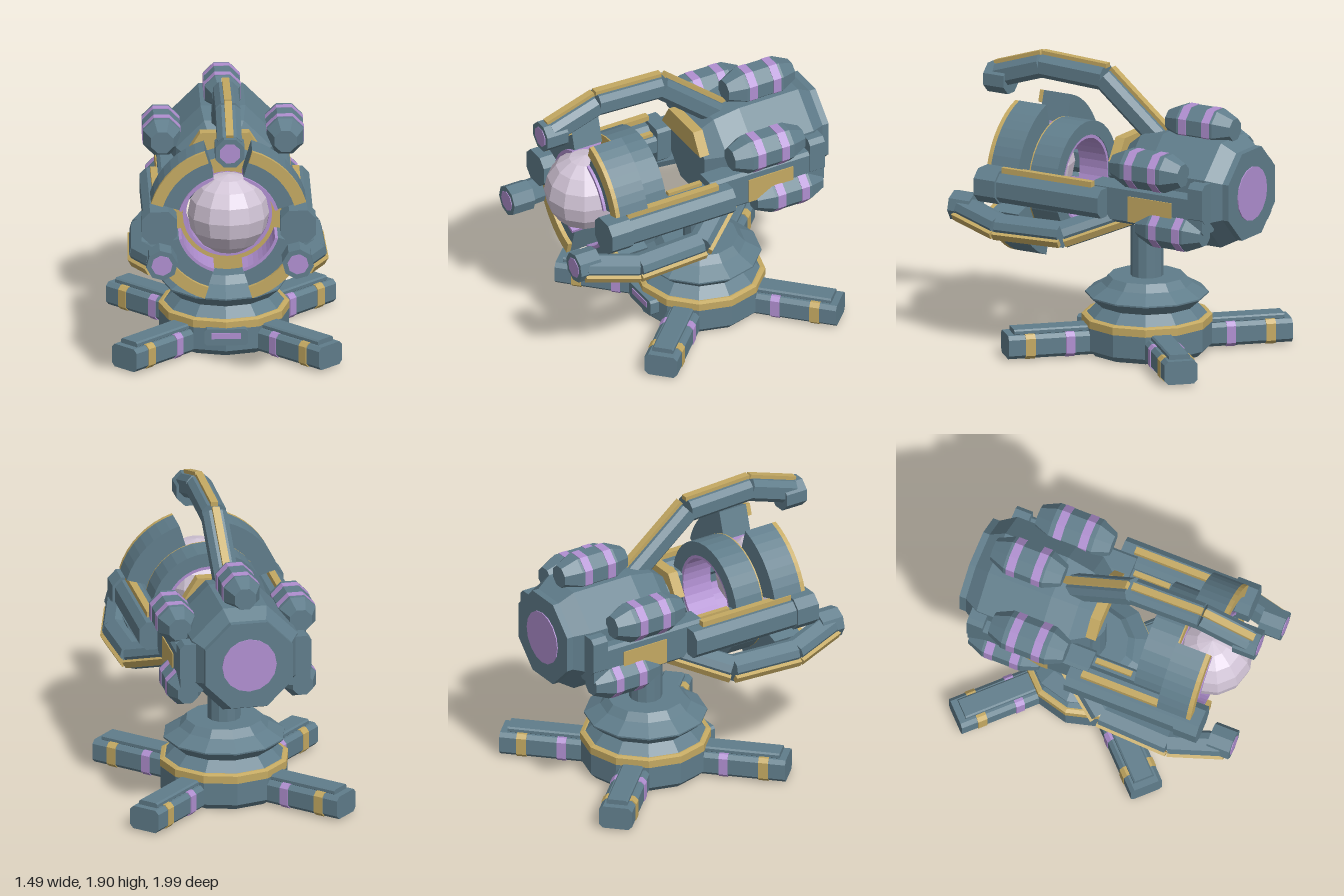
import * as THREE from 'three';

const mat = (name, color) => Object.assign(new THREE.MeshStandardMaterial({ color }), { name });
const steel = mat('steelBlue', 0x607d8b);
const gold = mat('gold', 0xc4a962);
const violet = mat('violet', 0xb08fd0);
const pearl = mat('pearl', 0xd1c4d6);

const AXIS = 1.156;   // height of the barrel axis
const RING_Y = 1.075; // height of the muzzle rings
const BASE_Z = -0.19; // centre of the pedestal

// Flat shaded mesh
function part(parent, name, geo, material, x = 0, y = 0, z = 0) {
  const g = geo.index ? geo.toNonIndexed() : geo;
  g.computeVertexNormals();
  const m = new THREE.Mesh(g, material);
  m.name = name;
  m.position.set(x, y, z);
  parent.add(m);
  return m;
}

function group(parent, name, x = 0, y = 0, z = 0) {
  const g = new THREE.Group();
  g.name = name;
  g.position.set(x, y, z);
  parent.add(g);
  return g;
}

const box = (w, h, d) => new THREE.BoxGeometry(w, h, d);

// Turned solid around y; points are [radius, y] going up
const turned = (pts, n) => new THREE.LatheGeometry(pts.map(p => new THREE.Vector2(...p)), n);

// Octagonal solid along z; points are [flat radius, z] going forward
function octagon(pts) {
  const k = 1 / Math.cos(Math.PI / 8);
  const v = pts.map(p => new THREE.Vector2(p[0] * k, p[1]));
  return new THREE.LatheGeometry(v, 8, Math.PI / 8).rotateX(Math.PI / 2);
}

// Bar along z with chamfered long edges, centred
function beam(w, h, len, c) {
  const x = w / 2, y = h / 2;
  const s = new THREE.Shape([[x - c, -y], [x, c - y], [x, y - c], [x - c, y],
    [c - x, y], [-x, y - c], [-x, c - y], [c - x, -y]].map(p => new THREE.Vector2(...p)));
  return new THREE.ExtrudeGeometry(s, { depth: len, bevelEnabled: false }).translate(0, 0, -len / 2);
}

// Piece of a ring in the xy plane, thick along z
function arc(r0, r1, a0, a1, depth, seg) {
  const s = new THREE.Shape();
  s.absarc(0, 0, r1, a0, a1, false);
  s.absarc(0, 0, r0, a1, a0, true);
  return new THREE.ExtrudeGeometry(s, { depth, bevelEnabled: false, curveSegments: seg });
}

function fullRing(r0, r1, depth, seg) {
  const s = new THREE.Shape().absarc(0, 0, r1, 0, Math.PI * 2, false);
  s.holes.push(new THREE.Path().absarc(0, 0, r0, 0, Math.PI * 2, true));
  return new THREE.ExtrudeGeometry(s, { depth, bevelEnabled: false, curveSegments: seg });
}

function addPedestal(root) {
  const base = group(root, 'pedestal', 0, 0, BASE_Z);
  part(base, 'baseDrum', turned([[0, 0], [0.38, 0], [0.42, 0.04], [0.42, 0.19], [0, 0.19]], 12), steel);
  part(base, 'baseBand', turned([[0, 0.19], [0.425, 0.19], [0.425, 0.24], [0.4, 0.25], [0, 0.25]], 12), gold);
  part(base, 'turntable', turned([[0.39, 0.25], [0.325, 0.315], [0.4, 0.38], [0.4, 0.39],
    [0.295, 0.45], [0.25, 0.5], [0, 0.5]], 12), steel);
  part(base, 'neck', turned([[0.108, 0.48], [0.108, 0.85]], 12), steel);
  part(base, 'frontPanel', beam(0.28, 0.11, 0.08, 0.015), steel, 0, 0.145, 0.405);
  part(base, 'panelLight', box(0.19, 0.04, 0.008), violet, 0, 0.155, 0.447);

  // Four diagonal feet
  for (let i = 0; i < 4; i++) {
    const foot = group(base, 'foot');
    foot.rotation.y = Math.PI / 4 + i * Math.PI / 2;
    part(foot, 'footBeam', beam(0.22, 0.155, 0.645, 0.025), steel, 0, 0.09, 0.6225);
    part(foot, 'footRidge', beam(0.14, 0.04, 0.6, 0.01), steel, 0, 0.18, 0.6);
    part(foot, 'outerBand', beam(0.23, 0.163, 0.065, 0.025), gold, 0, 0.09, 0.8);
    part(foot, 'innerBand', beam(0.23, 0.163, 0.06, 0.025), violet, 0, 0.09, 0.535);
  }
}

function addBody(root) {
  const body = group(root, 'body', 0, AXIS, 0);
  part(body, 'hull', octagon([[0, -0.94], [0.29, -0.94], [0.35, -0.84], [0.35, -0.4],
    [0.31, -0.22], [0.22, -0.1], [0, -0.1]]), steel);
  part(body, 'backPlate', octagon([[0, -0.985], [0.29, -0.985], [0.29, -0.92], [0, -0.92]]), steel);
  part(body, 'backLight', new THREE.CylinderGeometry(0.18, 0.18, 0.008, 16).rotateX(Math.PI / 2), violet, 0, 0, -0.988);

  // Collar over the front of the hull
  const collar = new THREE.Shape([[-0.25, 0.14], [0.25, 0.14], [0.16, 0.284], [-0.16, 0.284]]
    .map(p => new THREE.Vector2(...p)));
  part(body, 'collar', new THREE.ExtrudeGeometry(collar, { depth: 0.07, bevelEnabled: false }), gold, 0, 0, -0.12);
  part(body, 'collarSeat', beam(0.36, 0.2, 0.2, 0.04), steel, 0, 0.1, -0.2);

  for (const s of [1, -1]) {
    part(body, 'sideHousing', beam(0.16, 0.25, 0.84, 0.02), steel, s * 0.35, -0.08, -0.45);
    part(body, 'rearHousing', beam(0.15, 0.26, 0.11, 0.03), steel, s * 0.36, 0, -0.82);
    part(body, 'sidePanel', box(0.008, 0.17, 0.33), gold, s * 0.433, -0.1, -0.475);
  }
}

// Octagonal canister with two glowing bands
function addPod(root, x, y, z, r, len) {
  const pod = group(root, 'pod', x, y, z);
  const h = len / 2;
  part(pod, 'podShell', octagon([[0, -h], [r * 0.6, -h], [r, 0.11 - h], [r, h - 0.11], [r * 0.6, h], [0, h]]), steel);
  for (const s of [1, -1]) {
    const c = s * 0.088, b = r + 0.003;
    part(pod, 'podBand', octagon([[r, c - 0.029], [b, c - 0.029], [b, c + 0.029], [r, c + 0.029]]), violet);
  }
}

// Bent claw: beams between [z, height above axis], gold rail on the outer side
function addClaw(root, angle) {
  const claw = group(root, 'claw', 0, AXIS, 0);
  claw.rotation.z = angle;
  const path = [[-0.3, 0.275], [0.12, 0.619], [0.59, 0.639], [0.92, 0.53]];
  for (let i = 0; i < 3; i++) {
    const [z0, y0] = path[i], [z1, y1] = path[i + 1];
    const len = Math.hypot(z1 - z0, y1 - y0);
    const seg = group(claw, 'clawSegment', 0, (y0 + y1) / 2, (z0 + z1) / 2);
    seg.rotation.x = -Math.atan2(y1 - y0, z1 - z0);
    part(seg, 'clawBeam', beam(0.16, 0.15, len, 0.035), steel);
    part(seg, 'clawRail', box(0.048, 0.03, len + 0.02), gold, 0, 0.085, 0);
  }
  part(claw, 'clawTip', octagon([[0, 0.84], [0.095, 0.84], [0.095, 0.995], [0, 0.995]]), steel, 0, 0.509, 0);
  part(claw, 'tipLight', octagon([[0, 0.99], [0.064, 0.99], [0.064, 0.999], [0, 0.999]]), violet, 0, 0.509, 0);
}

function addSideArms(root) {
  for (const s of [1, -1]) {
    const arm = group(root, 'sideArm', s * 0.45, 1.08, 0);
    part(arm, 'armBeam', beam(0.2, 0.19, 0.79, 0.045), steel, 0, 0, 0.245);
    part(arm, 'armHead', beam(0.23, 0.22, 0.16, 0.055), steel, 0, 0.003, 0.7);
    part(arm, 'armRail', box(0.045, 0.04, 0.68), gold, s * 0.01, 0.112, 0.28);
    part(arm, 'innerStrut', beam(0.1, 0.13, 0.36, 0.02), steel, -s * 0.125, 0, 0.12);
    part(arm, 'strutRail', box(0.035, 0.025, 0.25), gold, -s * 0.125, 0.075, 0.11);
  }
}

function addMuzzle(root) {
  const muzzle = group(root, 'muzzle', 0, RING_Y, 0);
  part(muzzle, 'rearRing', fullRing(0.29, 0.383, 0.2, 16), steel, 0, 0, 0.27);
  part(muzzle, 'rearRingFace', fullRing(0.29, 0.383, 0.009, 16), gold, 0, 0, 0.47);
  part(muzzle, 'rearRingLining', fullRing(0.268, 0.29, 0.21, 16), violet, 0, 0, 0.275);

  // Four separated front shields
  const gap = THREE.MathUtils.degToRad(17);
  for (let i = 0; i < 4; i++) {
    const a0 = i * Math.PI / 2 + gap, a1 = (i + 1) * Math.PI / 2 - gap;
    part(muzzle, 'shield', arc(0.335, 0.525, a0, a1, 0.205, 4), steel, 0, 0, 0.48);
    part(muzzle, 'shieldTrim', arc(0.445, 0.525, a0, a1, 0.03, 4), gold, 0, 0, 0.685);
    part(muzzle, 'shieldLining', arc(0.315, 0.335, a0, a1, 0.215, 4), violet, 0, 0, 0.49);
  }
  part(muzzle, 'energyBall', new THREE.SphereGeometry(0.265, 12, 8), pearl, 0, 0.07, 0.665);
}

export function createModel() {
  const root = new THREE.Group();
  root.name = 'turret';
  addPedestal(root);
  addBody(root);
  addMuzzle(root);
  addSideArms(root);
  addPod(root, 0, 1.565, -0.615, 0.117, 0.49);
  for (const s of [1, -1]) {
    addPod(root, s * 0.4, 1.328, -0.45, 0.12, 0.52);
    addPod(root, s * 0.38, 0.94, -0.615, 0.11, 0.49);
  }
  for (let i = 0; i < 3; i++) addClaw(root, i * Math.PI * 2 / 3);
  return root;
}
